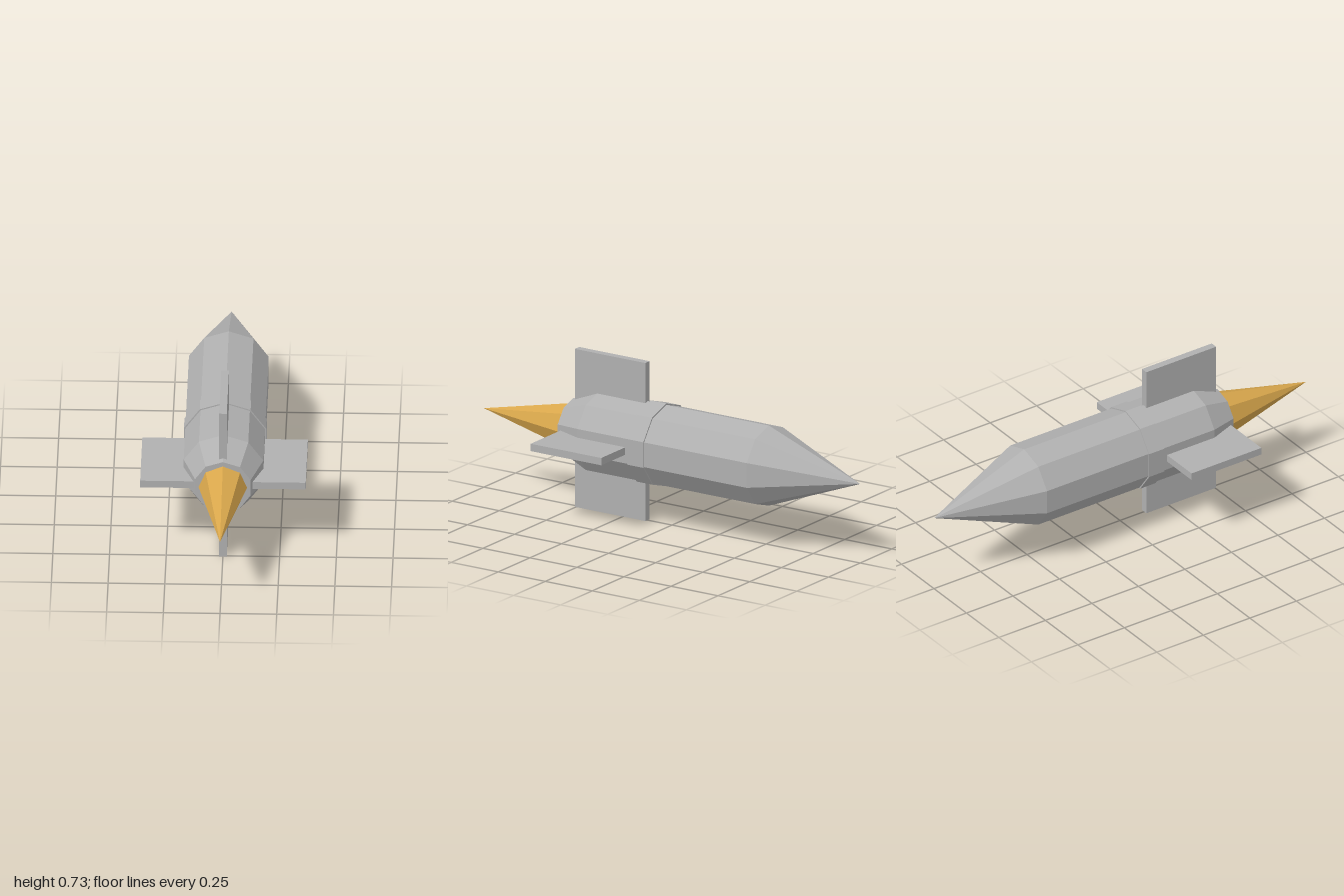
import * as THREE from 'three';

const AXIS_Y = 0.365; // height of the rocket's long axis

export function createModel() {
  const model = new THREE.Group();
  model.name = 'rocket';
  const hullGrey = new THREE.MeshStandardMaterial({ name: 'hullGrey', color: 0xb0b0b0, flatShading: true });
  const flameOrange = new THREE.MeshStandardMaterial({ name: 'flameOrange', color: 0xd9a74c, flatShading: true });

  const add = (name, geometry, material) => {
    const mesh = new THREE.Mesh(geometry, material);
    mesh.name = name;
    mesh.position.y = AXIS_Y;
    model.add(mesh);
    return mesh;
  };

  // Faceted solid turned around the z axis from [radius, z] pairs
  const turned = (profile, sides) =>
    new THREE.LatheGeometry(profile.map(([r, z]) => new THREE.Vector2(r, z)), sides).rotateX(Math.PI / 2);

  // Pointed nose, ten-sided hull, tapered tail and flat tail end
  add('noseCone', turned([[0, -1], [0.185, -0.515]], 10), hullGrey);
  add('hull', turned([[0.185, -0.515], [0.185, 0.385]], 10), hullGrey);
  add('tail', turned([[0.185, 0.385], [0.129, 0.525], [0, 0.525]], 10), hullGrey);

  // Raised band around the hull
  add('band', turned([[0.18, 0.03], [0.191, 0.03], [0.191, 0.113], [0.18, 0.113]], 10), hullGrey);

  // Exhaust flame
  add('flame', turned([[0, 0.525], [0.107, 0.525], [0, 1]], 8), flameOrange);

  // Four rectangular fins
  const inner = 0.1, outer = 0.365, front = 0.505, back = 0.13;
  for (let i = 0; i < 4; i++) {
    const fin = new THREE.BoxGeometry(outer - inner, 0.034, front - back);
    fin.translate((outer + inner) / 2, 0, (front + back) / 2);
    add('fin' + (i + 1), fin, hullGrey).rotation.z = (i * Math.PI) / 2;
  }
  return model;
}
